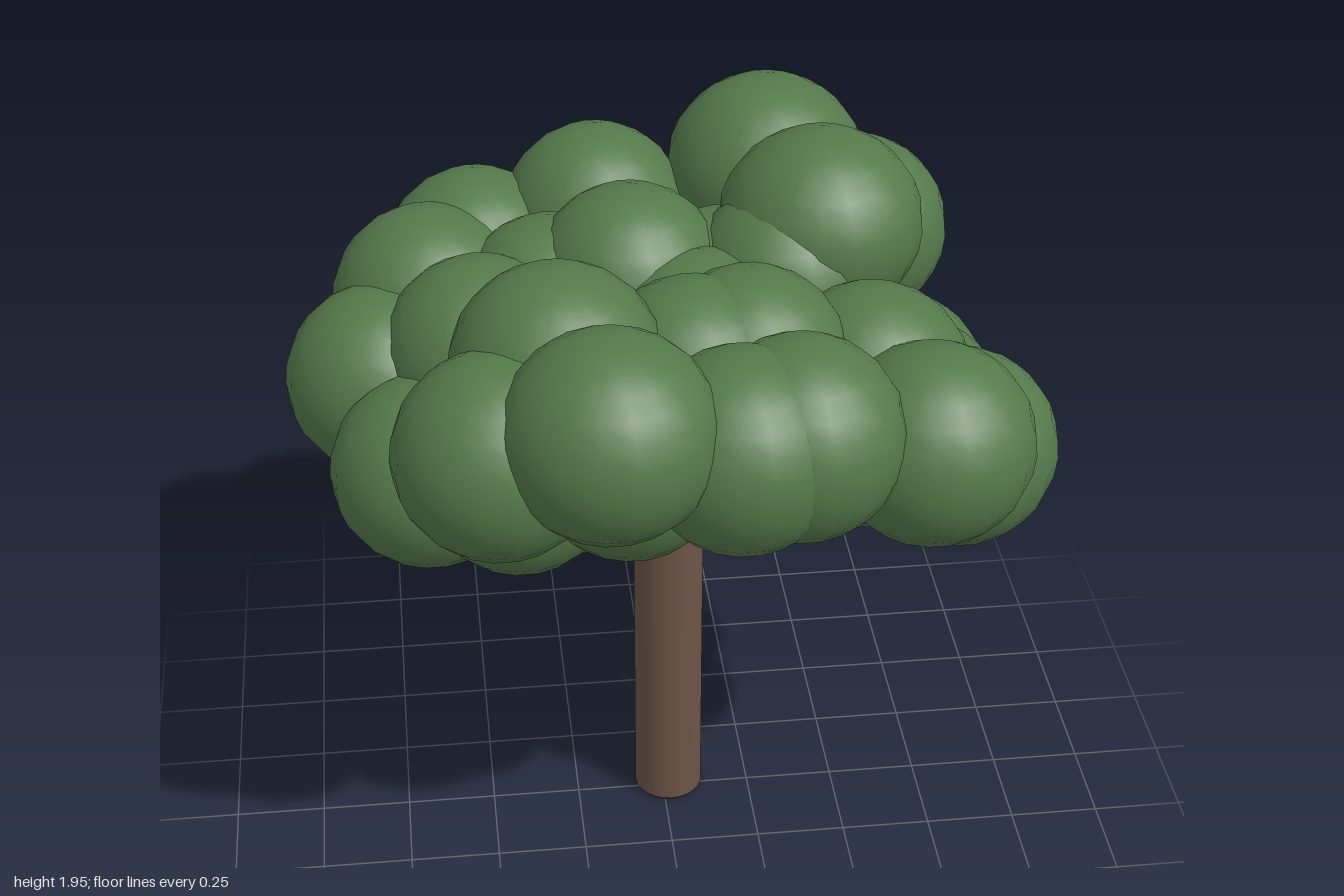
import * as THREE from 'three';

const bark = new THREE.MeshStandardMaterial({ color: 0x6b5545 });
bark.name = 'bark brown';
const leaf = new THREE.MeshStandardMaterial({ color: 0x54794a });
leaf.name = 'leaf green';

const TX = 0.018, TZ = -0.02; // trunk axis

// Each limb: height of its leaves, outer clump (x, z), inner clump (x, z), widening of the clumps
const LIMBS = [
  [1.685, -0.20, 0.67, -0.30, 0.34, 1.04],
  [1.685, 0.365, -0.67, 0.465, -0.325, 1.07],
  [1.575, 0.13, 0.60, 0.05, 0.25, 1],
  [1.575, 0.28, 0.56, 0.20, 0.21, 1],
  [1.57, -0.46, 0.55, -0.22, 0.30, 1.02],
  [1.565, 0.595, -0.505, 0.36, -0.25, 0.98],
  [1.57, -0.12, -0.65, -0.06, -0.28, 1],
  [1.47, 0.63, 0.465, 0.53, 0.15, 1.01],
  [1.47, -0.46, -0.61, -0.27, -0.31, 1.01],
  [1.46, -0.60, -0.42, -0.47, -0.12, 1.02],
  [1.46, -0.13, 0.43, 0.10, 0.38, 1],
  [1.47, 0.20, -0.30, 0.10, -0.08, 1],
  [1.35, -0.25, -0.45, -0.15, -0.25, 1],
  [1.34, 0.74, 0.29, 0.40, 0.20, 1],
  [1.34, -0.74, -0.21, -0.40, -0.09, 1],
  [1.24, 0.66, -0.18, 0.32, -0.14, 1],
  [1.24, 0.68, -0.04, 0.30, -0.02, 1.01],
  [1.24, -0.63, 0.10, -0.27, 0.05, 1],
  [1.30, -0.40, 0.24, -0.25, 0.16, 1],
];
const R = 0.262;

// Straight round branch between two points
function branch(a, b, r) {
  const dir = b.clone().sub(a);
  const m = new THREE.Mesh(new THREE.CylinderGeometry(r, r, dir.length(), 10), bark);
  m.position.copy(a).addScaledVector(dir, 0.5);
  m.quaternion.setFromUnitVectors(new THREE.Vector3(0, 1, 0), dir.normalize());
  m.name = 'branch';
  return m;
}

export function createModel() {
  const tree = new THREE.Group();
  tree.name = 'tree';

  // Trunk with a slightly rounded foot
  const profile = [[0, 0], [0.089, 0], [0.089, 0], [0.097, 0.01], [0.097, 0.01], [0.097, 1.1], [0.075, 1.14], [0, 1.15]]
    .map(([x, y]) => new THREE.Vector2(x, y));
  const trunk = new THREE.Mesh(new THREE.LatheGeometry(profile, 24), bark);
  trunk.position.set(TX, 0, TZ);
  trunk.name = 'trunk';
  tree.add(trunk);

  // Leaf clumps, two on each limb, carried by a branch
  const crown = new THREE.Group();
  crown.name = 'crown';
  const branches = new THREE.Group();
  branches.name = 'branches';
  const ball = new THREE.SphereGeometry(R, 18, 14);
  for (const [y, ox, oz, ix, iz, wide] of LIMBS) {
    for (const [x, z] of [[ox, oz], [ix, iz]]) {
      const clump = new THREE.Mesh(ball, leaf);
      clump.position.set(x, y, z);
      clump.scale.set(wide, 1, wide);
      clump.name = 'leafClump';
      crown.add(clump);
    }
    const start = new THREE.Vector3(TX, Math.min(y - 0.48, 1.0), TZ);
    branches.add(branch(start, new THREE.Vector3(ix, y - 0.1, iz), 0.023));
  }
  tree.add(branches, crown);
  return tree;
}
